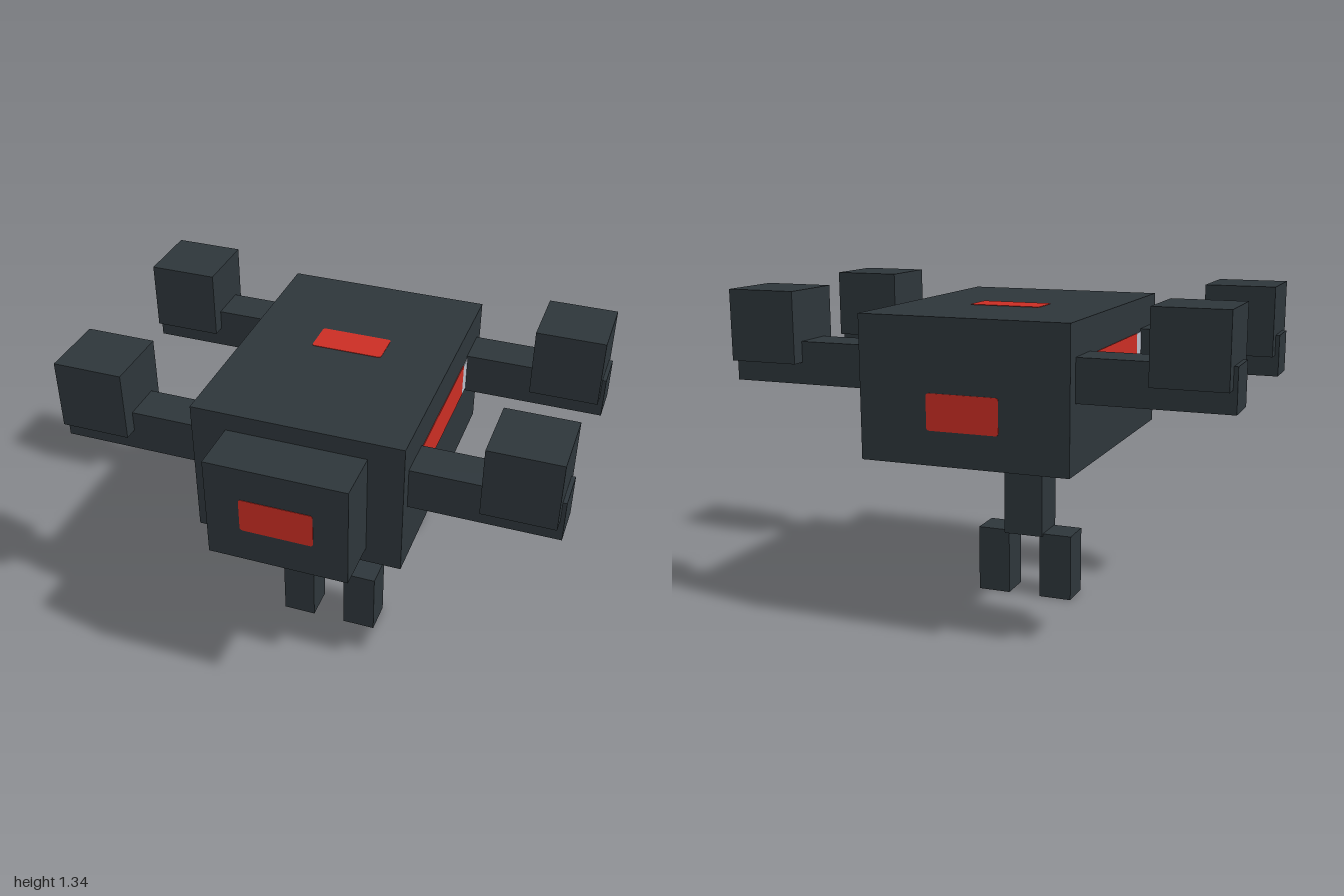
import * as THREE from 'three';

const darkGrey = new THREE.MeshStandardMaterial({ color: 0x2e363b });
darkGrey.name = 'dark grey';
const red = new THREE.MeshStandardMaterial({ color: 0xcc2e24 });
red.name = 'red';
const lightGrey = new THREE.MeshStandardMaterial({ color: 0xb9bfcb });
lightGrey.name = 'light grey';

// Box given by its lower and upper bounds on each axis
function block(name, [x0, x1], [y0, y1], [z0, z1], material = darkGrey) {
  const mesh = new THREE.Mesh(new THREE.BoxGeometry(x1 - x0, y1 - y0, z1 - z0), material);
  mesh.name = name;
  mesh.position.set((x0 + x1) / 2, (y0 + y1) / 2, (z0 + z1) / 2);
  return mesh;
}

// Thin red light with slightly rounded corners, facing +z
function lightPlate(name) {
  const w = 0.145, h = 0.071, r = 0.012;
  const s = new THREE.Shape();
  s.moveTo(-w + r, -h);
  s.lineTo(w - r, -h).quadraticCurveTo(w, -h, w, -h + r);
  s.lineTo(w, h - r).quadraticCurveTo(w, h, w - r, h);
  s.lineTo(-w + r, h).quadraticCurveTo(-w, h, -w, h - r);
  s.lineTo(-w, -h + r).quadraticCurveTo(-w, -h, -w + r, -h);
  const geometry = new THREE.ExtrudeGeometry(s, { depth: 0.003, bevelEnabled: false, curveSegments: 3 });
  const mesh = new THREE.Mesh(geometry, red);
  mesh.name = name;
  return mesh;
}

export function createModel() {
  const model = new THREE.Group();
  model.name = 'drone';

  // Body and head
  model.add(block('body', [-0.42, 0.42], [0.71, 1.27], [-0.668, 0.456]));
  model.add(block('head', [-0.28, 0.28], [0.777, 1.197], [0.456, 0.668]));

  // Four arms, each carrying a rotor pod
  for (const side of [-1, 1]) {
    for (const z of [0.316, -0.527]) {
      const arm = new THREE.Group();
      arm.name = 'rotorArm';
      const span = (a, b) => (side > 0 ? [a, b] : [-b, -a]);
      arm.add(block('arm', span(0.42, 1), [0.974, 1.142], [z - 0.083, z + 0.083]));
      arm.add(block('rotorPod', span(0.703, 0.984), [1.06, 1.34], [z - 0.14, z + 0.14]));
      model.add(arm);
    }
  }

  // Stem below the body and the two gripper fingers
  model.add(block('stem', [-0.085, 0.085], [0.272, 0.71], [-0.048, 0.12]));
  for (const side of [-1, 1]) {
    model.add(block('gripperFinger', [side * 0.14 - 0.07, side * 0.14 + 0.07], [0, 0.282], [-0.034, 0.106]));
  }

  // Side stripes: the second is the first turned half round about the body centre
  for (const turn of [0, Math.PI]) {
    const stripe = new THREE.Group();
    stripe.name = 'sideStripe';
    stripe.add(block('stripeRed', [0.419, 0.423], [0.985, 1.13], [-0.28, 0.42], red));
    stripe.add(block('stripeEnd', [0.419, 0.423], [0.985, 1.13], [-0.4, -0.28], lightGrey));
    stripe.position.z = -0.106;
    stripe.rotation.y = turn;
    model.add(stripe);
  }

  // Lights on the head, top and back
  const frontLight = lightPlate('frontLight');
  frontLight.position.set(0, 0.988, 0.667);
  const topLight = lightPlate('topLight');
  topLight.rotation.x = -Math.PI / 2;
  topLight.position.set(0, 1.269, -0.18);
  const backLight = lightPlate('backLight');
  backLight.rotation.y = Math.PI;
  backLight.position.set(0, 0.915, -0.667);
  model.add(frontLight, topLight, backLight);

  return model;
}
